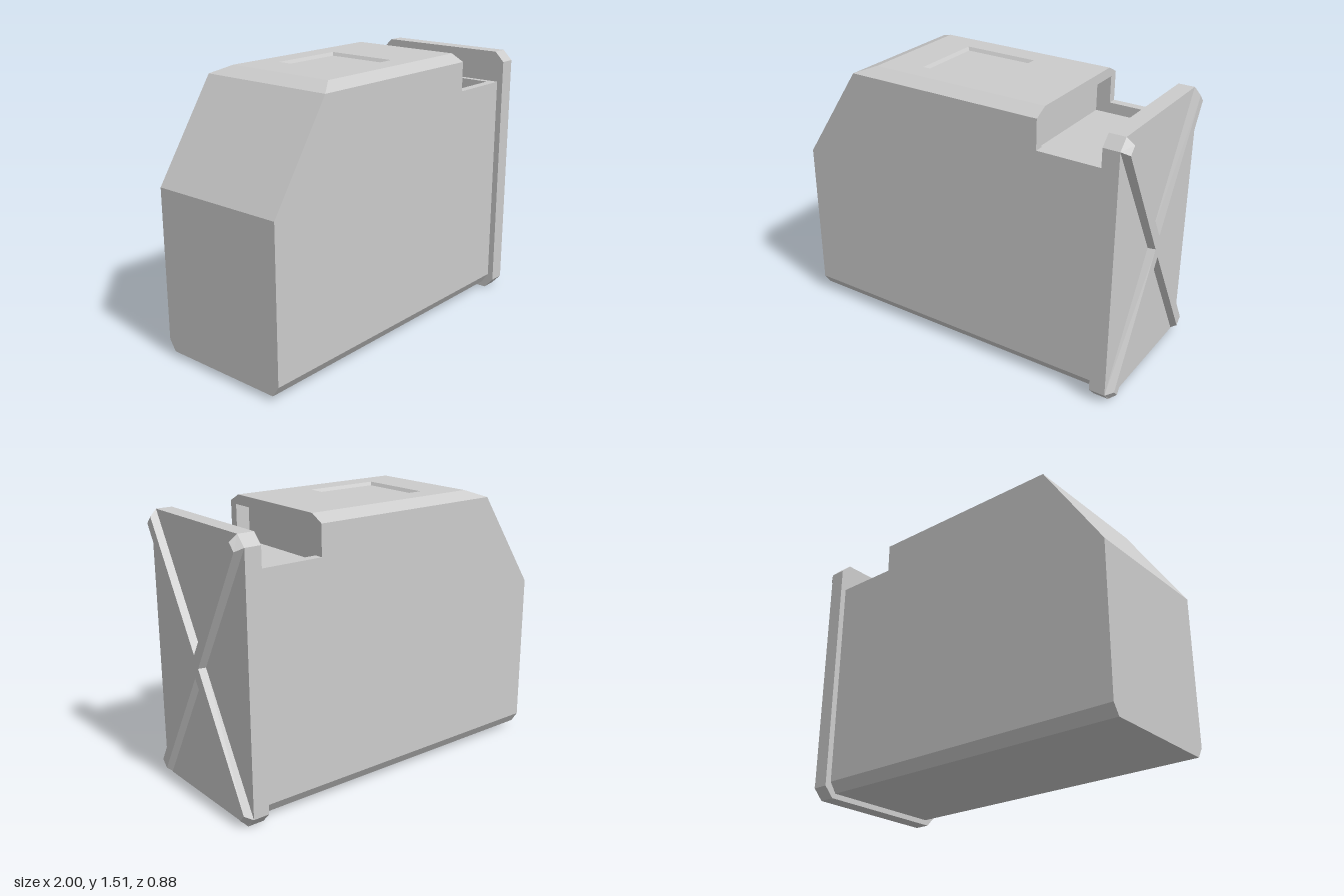
import * as THREE from 'three';

const W = 0.405; // body half width

// Joins a chain of point loops with quads; each loop runs counter-clockwise seen from outside.
function chain(loops, { closed = true, start = false, end = false } = {}) {
  const pos = [];
  const tri = (a, b, c) => pos.push(...a, ...b, ...c);
  for (let k = 0; k + 1 < loops.length; k++) {
    const a = loops[k], b = loops[k + 1], n = a.length;
    for (let i = 0; i < (closed ? n : n - 1); i++) {
      const j = (i + 1) % n;
      tri(a[i], a[j], b[j]);
      tri(a[i], b[j], b[i]);
    }
  }
  const cap = (loop) => {
    const c = [0, 1, 2].map((d) => loop.reduce((s, p) => s + p[d], 0) / loop.length);
    loop.forEach((p, i) => tri(c, p, loop[(i + 1) % loop.length]));
  };
  if (start) cap([...loops[0]].reverse());
  if (end) cap(loops[loops.length - 1]);
  const g = new THREE.BufferGeometry();
  g.setAttribute('position', new THREE.Float32BufferAttribute(pos, 3));
  g.computeVertexNormals();
  return g;
}

// Points [z, y] of the +z half, completed by their mirror, placed at x
const mirrored = (x, half) => [
  ...half.map(([z, y]) => [x, y, z]),
  ...[...half].reverse().map(([z, y]) => [x, y, -z]),
];

// Body outline at x: top half width, top height, shoulder height
const section = (x, t, top, shoulder) =>
  mirrored(x, [[t, top], [W, shoulder], [W, 0.09], [0.365, 0.03]]);

// Arch at x, running from -z over the top to +z
const arch = (x, half) => mirrored(x, half.map(([z, y]) => [-z, y]));

// Horizontal rectangle at height y, facing up
const rect = (y, x0, x1, z) => [[x0, y, -z], [x0, y, z], [x1, y, z], [x1, y, -z]];

// Same rectangle as an open U, missing the side at x0
const uShape = (y, x0, x1, z) => [[x0, y, z], [x1, y, z], [x1, y, -z], [x0, y, -z]];

// Four-armed cross at x: a = upper tip corner, b = outer tip corner (offsets z, y from the centre)
function cross(x, apex, side, a, b) {
  const cy = 0.745;
  const p = (z, y) => [x, cy + y, z];
  return [
    p(0, apex), p(...a), p(...b), p(side, 0),
    p(b[0], -b[1]), p(a[0], -a[1]), p(0, -apex), p(-a[0], -a[1]),
    p(-b[0], -b[1]), p(-side, 0), p(-b[0], b[1]), p(-a[0], a[1]),
  ];
}

export function createModel() {
  const group = new THREE.Group();
  const material = new THREE.MeshStandardMaterial({
    color: 0xcccccc, flatShading: true, side: THREE.DoubleSide,
  });
  const add = (name, geometry) => {
    const mesh = new THREE.Mesh(geometry, material);
    mesh.name = name;
    group.add(mesh);
  };

  // Main body: sloped end, then the long run with bevelled shoulders
  const shoulder = section(-0.54, 0.33, 1.515, 1.475);
  add('slopedEnd', chain([
    section(-1, W, 0.94, 0.94), section(-0.645, W, 1.475, 1.475), shoulder,
  ], { start: true }));
  add('bodyShell', chain([shoulder, section(0.5, 0.33, 1.515, 1.475)], { closed: false }));

  // Lower run behind the end plate
  add('lowerShell', chain([
    section(0.5, W, 1.31, 1.31), section(0.87, W, 1.31, 1.31),
  ], { closed: false }));

  // Top face with a shallow square recess
  add('topPanel', chain([
    rect(1.515, -0.54, 0.5, 0.33), rect(1.515, -0.325, 0.105, 0.208), rect(1.497, -0.313, 0.093, 0.196),
  ], { end: true }));

  // Step face with its opening, running back to a wall inside
  const opening = (x, y) => arch(x, [[0.355, y], [0.355, 1.46], [0.33, 1.46]]);
  add('stepFrame', chain([
    arch(0.5, [[W, 1.31], [W, 1.475], [0.33, 1.515]]), opening(0.5, 1.31),
  ], { closed: false }));
  add('openingWalls', chain([opening(0.5, 1.25), opening(0.42, 1.25)], { closed: false, end: true }));

  // Ledge rim, pocket walls and pocket floor
  add('ledge', chain([
    uShape(1.31, 0.5, 0.87, W), uShape(1.31, 0.5, 0.835, 0.355), uShape(1.25, 0.5, 0.835, 0.355),
  ], { closed: false }));
  add('pocketFloor', chain([rect(1.25, 0.42, 0.835, 0.355)], { end: true }));

  // End plate with cut corners
  const plate = (x) => mirrored(x, [[0.385, 1.485], [0.44, 1.43], [0.44, 0.06], [0.385, 0]]);
  add('endPlate', chain([plate(0.87), plate(0.96)], { start: true, end: true }));

  // Raised cross brace with sloped sides; reversed to face +x
  add('crossBrace', chain([
    cross(0.96, 0.077, 0.044, [0.385, 0.74], [0.44, 0.685]).reverse(),
    cross(1, 0.062, 0.035, [0.375, 0.705], [0.412, 0.665]).reverse(),
  ], { end: true }));

  return group;
}
